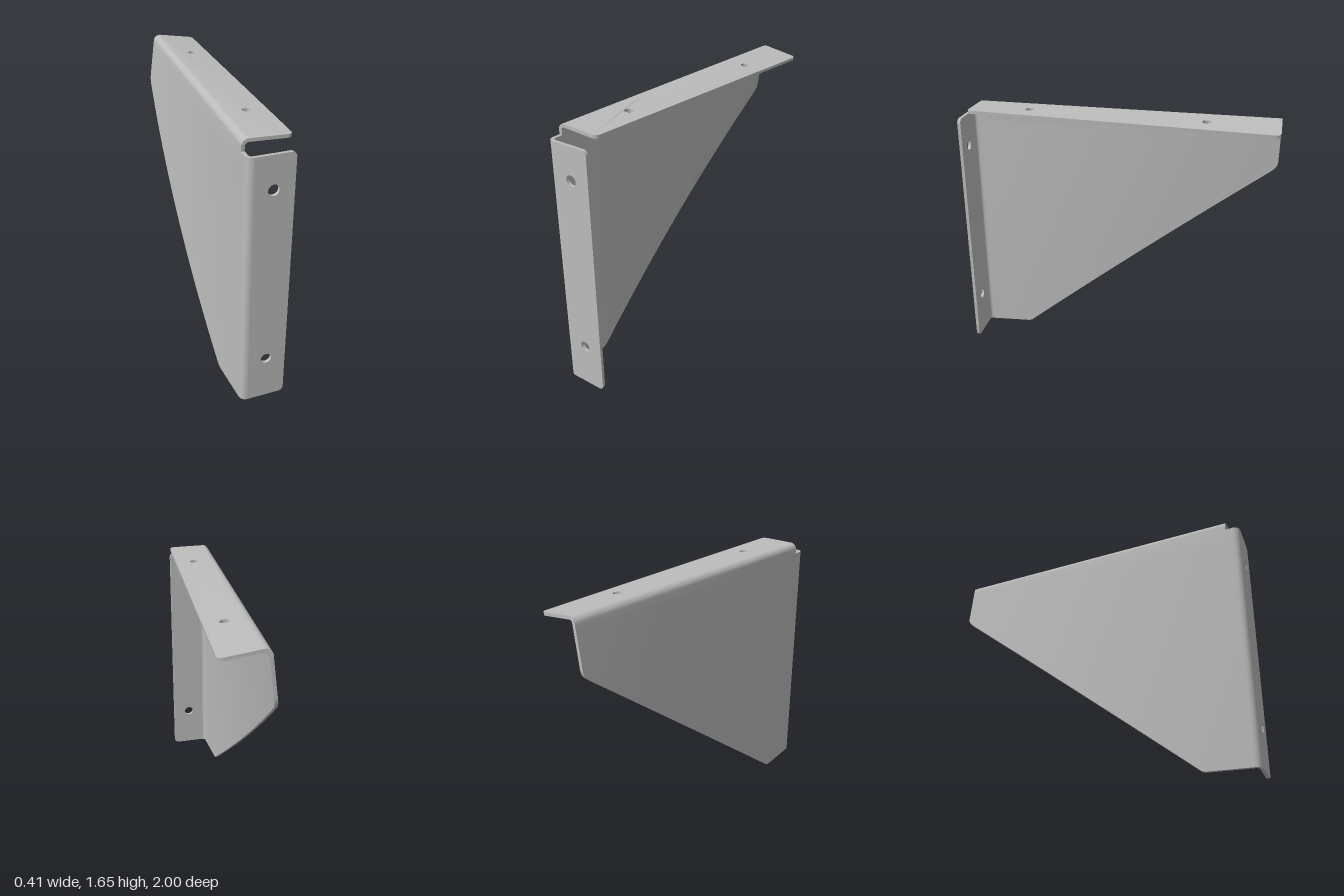
import * as THREE from 'three';
import { toCreasedNormals } from 'three/addons/utils/BufferGeometryUtils.js';

const T = 0.02;          // sheet thickness
const R = 0.04;          // outer bend radius
const BEND_Y = 1.613;    // height where the top bend starts
const BEND_Z = 0.96;     // depth where the front bend starts
const NOTCH_Z = 0.912;   // front end of the top flange
const FRONT_TOP = 1.585; // top of the front flange

const lean = z => 0.068 * Math.max(0, BEND_Z - z);   // the web twists towards the rear
const edgeX = z => -0.188 + 0.057 * (1 - z);         // x of the web at the top bend

// Cross-section at z: s < 0 down the web, 0..1 round the bend, s > 1 along the flange; d is depth into the sheet
function topPoint(z, s, d) {
  const a = lean(z);
  const th = Math.min(Math.max(s, 0), 1) * (Math.PI / 2 + 0.02);
  const w = Math.max(s - 1, 0), r = R - d;
  const n = R - r * Math.cos(th) + w * Math.sin(th);  // along the inward normal
  const up = r * Math.sin(th) + w * Math.cos(th) + Math.min(s, 0);
  return new THREE.Vector3(edgeX(z) + n + a * up, BEND_Y + up - a * n, z + (s > 0 ? 0.055 * n : 0));
}

// Front corner: s < 0 back along the web, 0..1 round the bend
function frontPoint(y, s, d) {
  if (s <= 0) return topPoint(BEND_Z + s, y - BEND_Y, d);
  const th = s * Math.PI / 2, r = R - d;
  return new THREE.Vector3(edgeX(BEND_Z) + R - r * Math.cos(th), y, BEND_Z + r * Math.sin(th));
}

// Solid sheet from a grid of points, with rims on all four edges
function sheet(nu, nv, point) {
  const pos = [];
  const quad = (a, b, c, d) => [a, b, c, a, c, d].forEach(p => pos.push(p.x, p.y, p.z));
  const o = [], n = [];
  for (let i = 0; i <= nu; i++) {
    o.push([]); n.push([]);
    for (let j = 0; j <= nv; j++) {
      o[i].push(point(i, j, 0));
      n[i].push(point(i, j, T));
    }
  }
  for (let i = 0; i < nu; i++) {
    for (let j = 0; j < nv; j++) {
      quad(o[i][j], o[i + 1][j], o[i + 1][j + 1], o[i][j + 1]);
      quad(n[i][j], n[i][j + 1], n[i + 1][j + 1], n[i + 1][j]);
    }
    quad(o[i][0], n[i][0], n[i + 1][0], o[i + 1][0]);
    quad(o[i][nv], o[i + 1][nv], n[i + 1][nv], n[i][nv]);
  }
  for (let j = 0; j < nv; j++) {
    quad(o[0][j], o[0][j + 1], n[0][j + 1], n[0][j]);
    quad(o[nu][j], n[nu][j], n[nu][j + 1], o[nu][j + 1]);
  }
  const g = new THREE.BufferGeometry();
  g.setAttribute('position', new THREE.Float32BufferAttribute(pos, 3));
  return toCreasedNormals(g, 0.6);
}

// Drilled flange with two rounded outer corners, laid out flat then moved into place
function flange(l0, l1, width, holes, holeR, place) {
  const c = 0.03, steps = 24, shape = new THREE.Shape();
  shape.moveTo(l0, 0);
  for (let i = 1; i <= steps; i++) shape.lineTo(l0 + (l1 - l0) * i / steps, 0);
  shape.lineTo(l1, width - c);
  shape.absarc(l1 - c, width - c, c, 0, Math.PI / 2, false);
  for (let i = 1; i <= steps; i++) shape.lineTo(l1 - c + (l0 - l1 + 2 * c) * i / steps, width);
  shape.absarc(l0 + c, width - c, c, Math.PI / 2, Math.PI, false);
  shape.closePath();
  for (const [l, w] of holes) {
    shape.holes.push(new THREE.Path().absarc(l, w, holeR, 0, Math.PI * 2, true));
  }
  const g = new THREE.ExtrudeGeometry(shape, { depth: T, bevelEnabled: false, curveSegments: 12 });
  const p = g.attributes.position;
  for (let i = 0; i < p.count; i++) {
    const v = place(p.getX(i), p.getY(i), p.getZ(i));
    p.setXYZ(i, v.x, v.y, v.z);
  }
  return toCreasedNormals(g, 0.6);
}

export function createModel() {
  const group = new THREE.Group();
  const steel = new THREE.MeshStandardMaterial({ color: 0xbcbcbc });
  steel.name = 'greySteel';
  const add = (name, geometry) => {
    const m = new THREE.Mesh(geometry, steel);
    m.name = name;
    group.add(m);
  };

  // Lower outline of the web as [z, y], rear to front
  const outline = [[-1, 1.36], [-0.996, 1.335], [-0.98, 1.312], [-0.955, 1.29]];
  for (let i = 1; i <= 20; i++) outline.push([-0.955 + 1.59 * i / 20, 1.29 - 1.258 * i / 20]);
  outline.push([0.652, 0.018], [0.668, 0.006], [0.69, 0], [0.8, 0], [NOTCH_Z, 0]);

  // Twisted triangular web with the rounded top bend
  const rows = 14, arc = 7;
  add('web', sheet(outline.length - 1, rows + arc, (i, j, d) => {
    const [z, y] = outline[i];
    return topPoint(z, j <= rows ? (y - BEND_Y) * (1 - j / rows) : (j - rows) / arc, d);
  }));

  // Web strip and rounded bend leading to the front flange
  const strip = 2;
  add('frontBend', sheet(strip + arc, 10, (i, j, d) =>
    frontPoint(FRONT_TOP * j / 10, i <= strip ? (NOTCH_Z - BEND_Z) * (1 - i / strip) : (i - strip) / arc, d)));

  // Top flange follows the twist of the web
  add('topFlange', flange(-1, NOTCH_Z, 0.237, [[-0.564, 0.119], [0.541, 0.117]], 0.027,
    (l, w, k) => topPoint(l, 1 + w, T - k)));

  // Flat front flange
  const x0 = edgeX(BEND_Z) + R;
  add('frontFlange', flange(0, FRONT_TOP, 0.085 - x0, [[0.28, -0.035 - x0], [1.385, -0.035 - x0]], 0.033,
    (l, w, k) => new THREE.Vector3(x0 + w, l, 1 - k)));

  return group;
}
